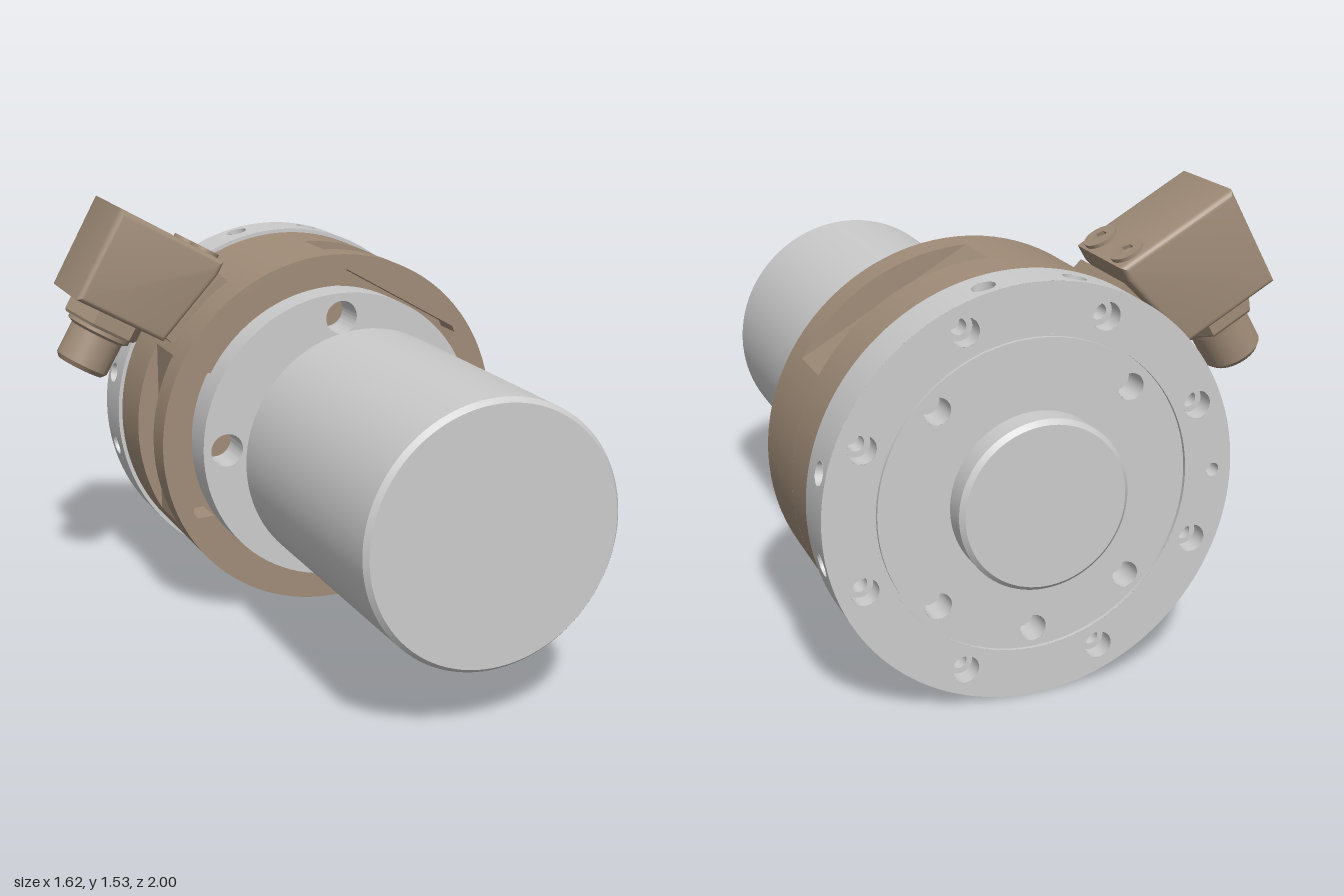
import * as THREE from 'three';
import { toCreasedNormals } from 'three/addons/utils/BufferGeometryUtils.js';

const TAU = Math.PI * 2, rad = THREE.MathUtils.degToRad;
const metal = new THREE.MeshStandardMaterial({ color: 0xcccccc });
const metalThin = new THREE.MeshStandardMaterial({ color: 0xcccccc, side: THREE.DoubleSide });
const brown = new THREE.MeshStandardMaterial({ color: 0xa08c78 });

function add(parent, name, geo, mat) {
  const mesh = new THREE.Mesh(geo, mat);
  mesh.name = name;
  parent.add(mesh);
  return mesh;
}
const crease = (geo) => toCreasedNormals(geo, 0.4);

// Solid of revolution about z; points are [radius, z] with z rising
function turned(points, segments = 96) {
  const geo = new THREE.LatheGeometry(points.map(([r, z]) => new THREE.Vector2(r, z)), segments);
  return crease(geo.rotateX(Math.PI / 2));
}
const drum = (r, z0, z1) => turned([[0, z0], [r, z0], [r, z1], [0, z1]]);

function slab(shape, z0, z1) {
  const geo = new THREE.ExtrudeGeometry(shape, { depth: z1 - z0, bevelEnabled: false, curveSegments: 48 });
  return crease(geo.translate(0, 0, z0));
}
const circle = (r, x = 0, y = 0) => new THREE.Shape().absarc(x, y, r, 0, TAU, false);
const polar = (r, a) => [r * Math.cos(a), r * Math.sin(a)];

// Grid on a cylinder of radius R; f(u, v) returns [angle, z]
function bent(R, nu, nv, f) {
  const pos = [], nor = [], idx = [];
  for (let i = 0; i <= nu; i++) for (let j = 0; j <= nv; j++) {
    const [a, z] = f(i / nu, j / nv);
    pos.push(...polar(R, a), z);
    nor.push(...polar(1, a), 0);
    if (i < nu && j < nv) {
      const A = i * (nv + 1) + j, D = A + nv + 1;
      idx.push(A, A + 1, D + 1, A, D + 1, D);
    }
  }
  const geo = new THREE.BufferGeometry();
  geo.setAttribute('position', new THREE.Float32BufferAttribute(pos, 3));
  geo.setAttribute('normal', new THREE.Float32BufferAttribute(nor, 3));
  geo.setIndex(idx);
  return geo;
}

// Blind hole opening towards dir, optionally with a narrower hole in its floor
function bore(parent, p, dir, r, depth, pilot = 0) {
  const g = new THREE.Group();
  g.name = 'hole';
  g.position.set(...p);
  g.quaternion.setFromUnitVectors(new THREE.Vector3(0, 0, 1), new THREE.Vector3(...dir));
  const tube = (tr, z0, z1) => add(g, 'holeWall', new THREE.CylinderGeometry(tr, tr, z0 - z1, 28, 1, true)
    .rotateX(Math.PI / 2).translate(0, 0, (z0 + z1) / 2), metalThin);
  tube(r, 0, -depth);
  if (pilot) {
    add(g, 'holeStep', new THREE.RingGeometry(pilot, r, 28).translate(0, 0, -depth), metal);
    tube(pilot, -depth, -depth - 0.06);
  }
  add(g, 'holeFloor', new THREE.CircleGeometry(pilot || r, 28).translate(0, 0, -depth - (pilot ? 0.06 : 0)), metal);
  parent.add(g);
}

// Cylindrical wall with radial holes at the given sorted angles
function drilledWall(parent, name, R, z0, z1, zh, rh, angles, depth) {
  const half = rh * 1.5 / R, zm = (z0 + z1) / 2, hz = (z1 - z0) / 2;
  angles.forEach((a, k) => {
    add(parent, name, bent(R, 40, 4, (u, v) => {
      const c = Math.cos(u * TAU), s = Math.sin(u * TAU), m = Math.max(Math.abs(c), Math.abs(s));
      return [a + THREE.MathUtils.lerp(c * rh / R, c / m * half, v),
        THREE.MathUtils.lerp(zh + s * rh, zm + s / m * hz, v)];
    }), metal);
    const next = k + 1 < angles.length ? angles[k + 1] : angles[0] + TAU;
    add(parent, name, bent(R, 1, 30, (u, v) =>
      [THREE.MathUtils.lerp(a + half, next - half, v), z0 + (z1 - z0) * u]), metal);
    bore(parent, [...polar(R, a), zh], [...polar(1, a), 0], rh, depth);
  });
}

function buildShaft(g) {
  add(g, 'frontCylinder', turned([[0, 0.02], [0.445, 0.02], [0.445, 0.982], [0.43, 1], [0, 1]]), metal);
  add(g, 'neck', drum(0.22, -0.36, 0.02), metal);
  drilledWall(g, 'collarWall', 0.305, -0.11, 0.02, -0.05, 0.03, [30, 150, 270].map(rad), 0.08);
  add(g, 'collarBack', new THREE.RingGeometry(0.2, 0.305, 96).rotateY(Math.PI).translate(0, 0, -0.11), metal);

  const plate = circle(0.535);
  for (let k = 0; k < 4; k++) plate.holes.push(circle(0.06, ...polar(0.446, k * TAU / 4)));
  add(g, 'frontPlate', slab(plate, -0.3, -0.17), metal);
}

function buildHousing(g) {
  // Front band with three recesses opening from the bore
  const front = circle(0.66), recess = new THREE.Path();
  // Middle band with three flat pockets
  const middle = new THREE.Shape();
  for (const c of [60, 180, 300].map(rad)) {
    recess.absarc(0, 0, 0.545, c + rad(29.6), c + rad(90.4), false);
    const n = c + TAU / 3;
    for (const [d, s] of [[0.535, -0.272], [0.55, -0.25], [0.55, 0.25], [0.535, 0.272]])
      recess.lineTo(d * Math.cos(n) - s * Math.sin(n), d * Math.sin(n) + s * Math.cos(n));
    middle.absarc(0, 0, 0.66, c + rad(29), c + rad(91), false);
  }
  recess.closePath();
  middle.closePath();
  front.holes.push(recess);
  add(g, 'housingFront', slab(front, -0.36, -0.25), brown);
  add(g, 'housingMiddle', slab(middle, -0.545, -0.36), brown);
  add(g, 'housingRear', drum(0.66, -0.75, -0.545), brown);

  // Mounting pad below the connector block
  const pad = add(g, 'connectorPad', new THREE.BoxGeometry(0.1, 0.3, 0.32), brown);
  pad.position.set(...polar(0.628, rad(135)), -0.565);
  pad.rotation.z = rad(135);
}

function buildFlange(g) {
  const zb = -0.91, angles = [];
  for (let k = 0; k < 4; k++) angles.push(rad(k * 90 - 12.5), rad(k * 90 + 12.5));
  drilledWall(g, 'flangeWall', 0.674, zb, -0.75, -0.848, 0.037, angles, 0.08);
  add(g, 'flangeFront', new THREE.RingGeometry(0.6, 0.674, 128).translate(0, 0, -0.75), metal);

  // Back face in two parts with a fine groove between
  const outer = circle(0.674), inner = circle(0.503);
  outer.holes.push(circle(0.513));
  const drill = (shape, R, deg, r, depth, pilot) => {
    const [x, y] = polar(R, rad(deg));
    shape.holes.push(circle(r, -x, y));
    bore(g, [x, y, zb], [0, 0, -1], r, depth, pilot);
  };
  for (let k = 0; k < 8; k++) drill(outer, 0.59, 22.5 + 45 * k, 0.045, 0.06, 0.026);
  drill(outer, 0.61, 180, 0.022, 0.05);
  for (const deg of [45, 135, 225, 315, 270]) drill(inner, 0.443, deg, 0.043, 0.1);
  for (const [name, s] of [['flangeBackRim', outer], ['flangeBackDisc', inner]])
    add(g, name, new THREE.ShapeGeometry(s, 64).rotateY(Math.PI).translate(0, 0, zb), metal);
  for (const r of [0.503, 0.513])
    add(g, 'grooveWall', new THREE.CylinderGeometry(r, r, 0.012, 96, 1, true)
      .rotateX(Math.PI / 2).translate(0, 0, zb + 0.006), metalThin);
  add(g, 'grooveFloor', new THREE.RingGeometry(0.5, 0.516, 96).rotateY(Math.PI).translate(0, 0, zb + 0.012), metal);
  add(g, 'backBoss', turned([[0, -1], [0.26, -1], [0.275, -0.985], [0.275, zb], [0, zb]]), metal);
}

function buildConnector(root) {
  const g = new THREE.Group();
  g.name = 'connector';
  root.add(g);
  const v = new THREE.Vector3(0.5, 0.866, 0).normalize(), zc = -0.565;

  // Block tilted by 30 degrees, its underside cut to suit the housing
  const outline = new THREE.Shape([[-0.775, 1.215], [-0.46, 1.035], [-0.25, 1.26], [-0.222, 1.308], [-0.602, 1.527]]
    .map(([x, y]) => new THREE.Vector2(x, y)));
  const block = new THREE.ExtrudeGeometry(outline, {
    depth: 0.3, bevelThickness: 0.022, bevelSize: 0.022, bevelOffset: -0.022, bevelSegments: 4,
  }).translate(0, 0, zc - 0.15);
  add(g, 'connectorBlock', crease(block), brown);

  // Screw heads with hexagonal sockets
  const head = circle(0.055), socket = new THREE.Path();
  for (let k = 0; k < 6; k++) socket[k ? 'lineTo' : 'moveTo'](...polar(0.025, k * TAU / 6));
  socket.closePath();
  head.holes.push(socket);
  for (const z of [-0.66, -0.47]) {
    const screw = add(g, 'blockScrew', slab(head, -0.01, 0.012), brown);
    screw.position.set(-0.277, 1.34, z);
    screw.quaternion.setFromUnitVectors(new THREE.Vector3(0, 0, 1), v);
  }

  // Socket pointing down and outwards: hex nut, collar and plug
  const plug = new THREE.Group();
  plug.name = 'plug';
  plug.position.set(-0.622, 1.12, zc);
  plug.quaternion.setFromUnitVectors(new THREE.Vector3(0, 0, 1), v.clone().negate());
  g.add(plug);
  add(plug, 'hexNut', turned([[0, -0.03], [0.15, -0.03], [0.15, 0.045], [0.142, 0.055], [0, 0.055]], 6), brown);
  add(plug, 'plugBody', turned([[0, 0], [0.12, 0], [0.12, 0.07], [0.1, 0.08], [0.1, 0.2], [0.086, 0.217], [0, 0.217]], 48), brown);
}

export function createModel() {
  const root = new THREE.Group();
  root.name = 'spindleUnit';
  const axis = new THREE.Group();
  axis.name = 'axisParts';
  axis.position.set(0.136, 0.674, 0);
  root.add(axis);
  buildShaft(axis);
  buildHousing(axis);
  buildFlange(axis);
  buildConnector(root);
  return root;
}
